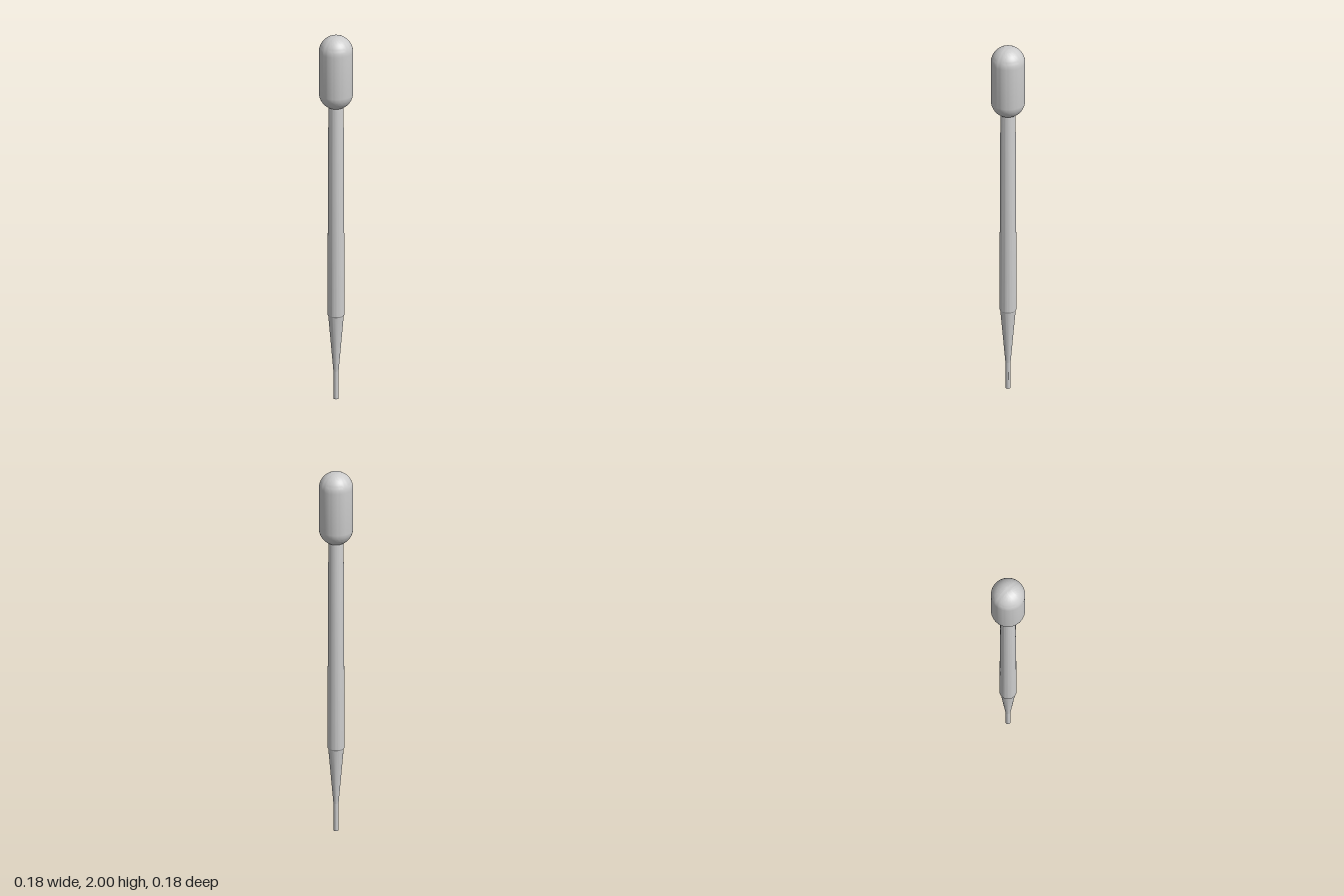
import * as THREE from 'three';
import { toCreasedNormals } from 'three/addons/utils/BufferGeometryUtils.js';

const SEGMENTS = 64;

export function createModel() {
  const group = new THREE.Group();
  group.name = 'dropperPipette';
  const material = new THREE.MeshStandardMaterial({ color: 0xcccccc });

  // Revolve a [radius, y] profile, listed from bottom to top on the outside
  function addLathe(name, profile) {
    const points = profile.map(([r, y]) => new THREE.Vector2(r, y));
    const geometry = toCreasedNormals(new THREE.LatheGeometry(points, SEGMENTS), 0.4);
    const mesh = new THREE.Mesh(geometry, material);
    mesh.name = name;
    group.add(mesh);
  }

  // Quarter arc of the bulb, from angle a0 to a1 around a centre on the axis
  function arc(radius, centreY, a0, a1, steps = 14) {
    return Array.from({ length: steps + 1 }, (_, i) => {
      const a = a0 + (a1 - a0) * i / steps;
      return [Math.max(0, radius * Math.cos(a)), centreY + radius * Math.sin(a)];
    });
  }

  // Narrow outlet with a rim and a blind bore
  addLathe('tip', [[0, 0.14], [0.009, 0.14], [0.009, 0], [0.013, 0], [0.0135, 0.152]]);

  // Cone widening up to the barrel
  addLathe('taper', [[0.0135, 0.152], [0.040, 0.457]]);

  // Long barrel, narrowing slightly upward, with a small shoulder below
  addLathe('barrel', [[0.040, 0.457], [0.0445, 0.465], [0.0395, 1.595], [0.037, 1.612]]);

  // Squeeze bulb with rounded ends
  const R = 0.0885;
  addLathe('bulb', [
    [0, 1.604],
    ...arc(R, 1.688, -1.25, 0),
    ...arc(R, 2 - R, 0, Math.PI / 2),
  ]);

  return group;
}
